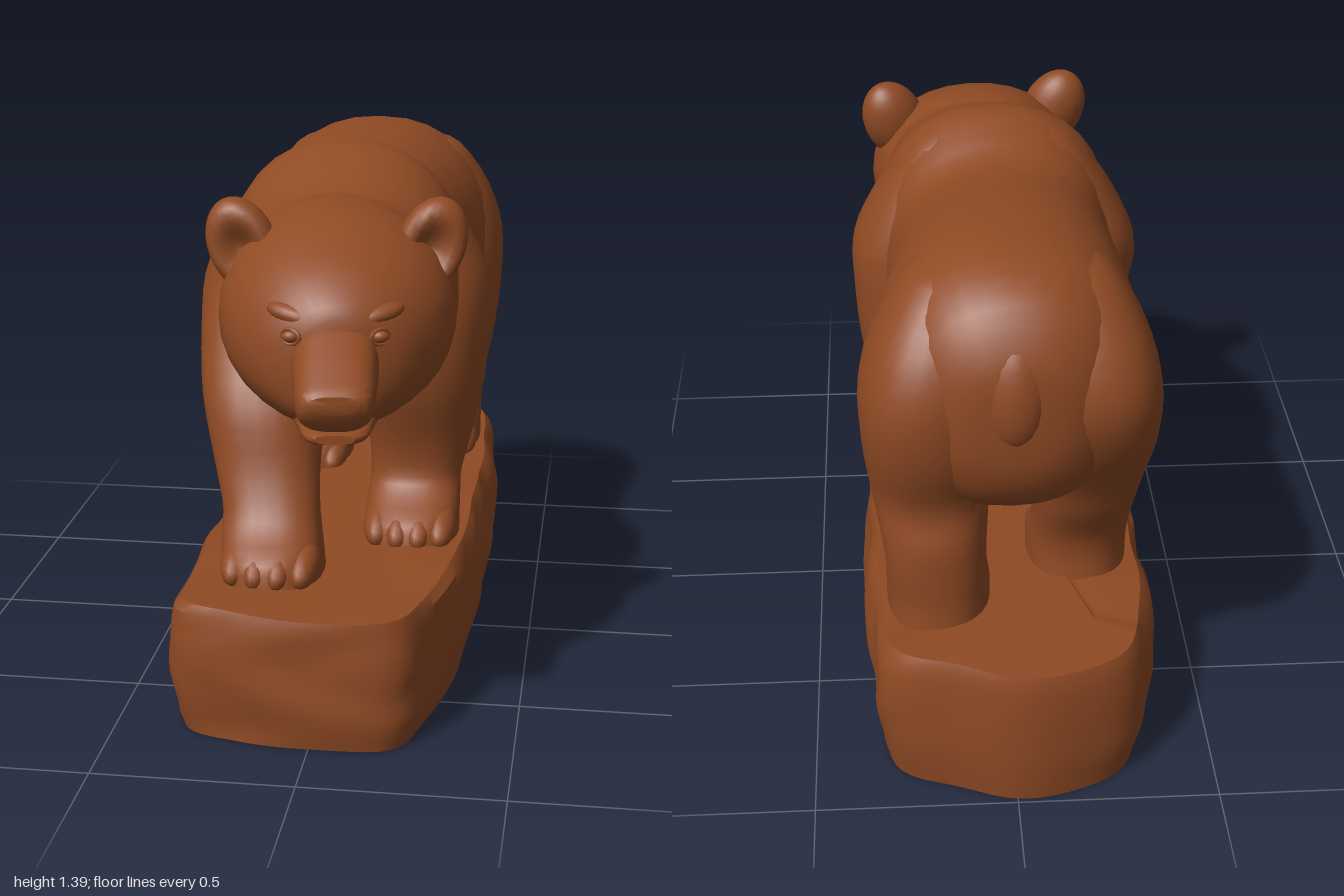
import * as THREE from 'three';
import { toCreasedNormals } from 'three/addons/utils/BufferGeometryUtils.js';

const brown = new THREE.MeshStandardMaterial({ color: 0x8f4a24 });
brown.name = 'carved brown';

function add(parent, name, geometry) {
  const mesh = new THREE.Mesh(geometry, brown);
  mesh.name = name;
  parent.add(mesh);
  return mesh;
}

// Closed skin over equal-length rings of points, with fan caps
function skin(rings, crease = 0.7) {
  const n = rings[0].length, m = rings.length, pos = [], idx = [];
  rings.forEach(r => r.forEach(p => pos.push(p.x, p.y, p.z)));
  for (let i = 0; i < m - 1; i++) for (let j = 0; j < n; j++) {
    const a = i * n + j, b = i * n + (j + 1) % n;
    idx.push(a, a + n, b, b, a + n, b + n);
  }
  [0, m - 1].forEach((r, end) => {
    const c = new THREE.Vector3();
    rings[r].forEach(p => c.addScaledVector(p, 1 / n));
    const k = pos.length / 3;
    pos.push(c.x, c.y, c.z);
    for (let j = 0; j < n; j++) {
      const a = r * n + j, b = r * n + (j + 1) % n;
      if (end) idx.push(k, b, a); else idx.push(k, a, b);
    }
  });
  const g = new THREE.BufferGeometry();
  g.setAttribute('position', new THREE.Float32BufferAttribute(pos, 3));
  g.setIndex(idx);
  return toCreasedNormals(g, crease);
}

// Smoothly interpolate rows of section numbers
function refine(rows, steps = 3) {
  const out = [], at = i => rows[Math.max(0, Math.min(rows.length - 1, i))];
  for (let i = 0; i < rows.length - 1; i++) for (let s = 0; s < steps; s++) {
    const t = s / steps;
    out.push(rows[i].map((v, k) => {
      const a = at(i - 1)[k], c = at(i + 1)[k], d = at(i + 2)[k];
      return v + 0.5 * t * (c - a + t * (2 * a - 5 * v + 4 * c - d + t * (3 * (v - c) + d - a)));
    }));
  }
  out.push(rows[rows.length - 1]);
  return out;
}

// Rounded-square point
function roundPoint(j, n, e) {
  const t = j / n * Math.PI * 2, f = v => Math.sign(v) * Math.abs(v) ** (2 / e);
  return [f(Math.cos(t)), f(Math.sin(t))];
}

// Loft along z; rows: [z, centre x, top y, bottom y, half width]
function loftZ(rows, e = 2.3, n = 32) {
  return skin(refine(rows).map(([z, cx, top, bot, w]) => Array.from({ length: n }, (_, j) => {
    const [u, v] = roundPoint(j, n, e);
    return new THREE.Vector3(cx + u * w, (top + bot) / 2 - v * (top - bot) / 2, z);
  })));
}

// Loft along y; rows: [y, centre x, centre z, half x, half z]
function loftY(rows, e = 2.35, n = 28) {
  return skin(refine(rows).map(([y, cx, cz, hx, hz]) => Array.from({ length: n }, (_, j) => {
    const [u, v] = roundPoint(j, n, e);
    return new THREE.Vector3(cx + u * hx, y, cz + v * hz);
  })));
}

function blob(parent, name, x, y, z, rx, ry, rz) {
  const m = add(parent, name, new THREE.SphereGeometry(1, 18, 12));
  m.position.set(x, y, z);
  m.scale.set(rx, ry, rz);
  return m;
}

function makeLeg(name, rows) {
  const leg = new THREE.Group();
  leg.name = name;
  add(leg, name + 'Limb', loftY(rows));
  // Four long toes sloping out of the front of the paw
  const [, cx, cz, hx, hz] = rows[0];
  for (let i = 0; i < 4; i++) {
    const k = (i - 1.5) / 1.5;
    const toe = blob(leg, 'toe', cx + k * hx * 0.66, 0.385, cz + hz - 0.085 - 0.02 * k * k, 0.04, 0.045, 0.095);
    toe.rotation.x = 0.3;
  }
  return leg;
}

// Rough stone block the animal stands on, narrowed at its left front corner
function makeBase() {
  const outline = [[.365, 0], [.36, .25], [.335, .45], [.29, .64], [.23, .79], [0, .82], [-.2, .8], [-.35, .74], [-.37, .4],
    [-.365, 0], [-.375, -.4], [-.36, -.7], [-.3, -.9], [-.15, -.98], [0, -1], [.15, -.95], [.32, -.87], [.36, -.6], [.37, -.3]];
  const curve = new THREE.CatmullRomCurve3(outline.map(([x, z]) => new THREE.Vector3(x, 0, z)), true);
  const pts = curve.getSpacedPoints(140).slice(0, 140);
  const layers = [[0, .91], [.03, .935], [.06, .955], [.09, .975], [.12, .985], [.15, .99], [.18, .995], [.21, .995],
    [.24, .99], [.27, .985], [.3, .97], [.33, .95], [.352, .9], [.354, .6]];
  return skin(layers.map(([y, s]) => pts.map(p => {
    const wave = Math.sin(p.z * 8 + p.x * 6 + y * 9 + 1.5 * Math.sin(p.z * 5 - y * 11));
    const rough = y > 0 && y < .34 ? 1 : 0.35;
    const b = rough * (.014 * wave + .01 * Math.sin(p.z * 19 + p.x * 13 + 2 * Math.sin(y * 21 + p.z * 4)));
    const z = p.z * (1 - (1 - s) * .15 + (p.z > 0 ? b * .35 : 0));
    const lift = y / .35 * (-.014 * p.z + (p.z < -.8 ? .012 : 0) + .006 * Math.sin(p.z * 13 + p.x * 8));
    return new THREE.Vector3(p.x * (s + b), y + lift, z);
  })), 0.6);
}

// Thick rounded ear with a hollow pressed into the front
function earGeometry() {
  const g = new THREE.SphereGeometry(1, 24, 18), p = g.attributes.position;
  for (let i = 0; i < p.count; i++) {
    const x = p.getX(i), y = p.getY(i), z = p.getZ(i);
    const dent = z > 0 ? 1.05 * Math.exp(-3.6 * (x * x + (y + .1) ** 2)) : 0;
    p.setXYZ(i, x * .085, y * .12, (z - dent) * .072);
  }
  g.computeVertexNormals();
  return g;
}

function makeHead() {
  const head = new THREE.Group();
  head.name = 'head';
  head.position.set(.03, 0, .5);
  head.rotation.y = .13;
  add(head, 'skull', loftZ([[-.26, 0, 1.27, .77, .24], [-.15, 0, 1.295, .775, .262], [-.05, 0, 1.295, .78, .282],
    [.05, 0, 1.275, .79, .287], [.15, 0, 1.235, .795, .26], [.23, 0, 1.195, .805, .215], [.29, 0, 1.15, .825, .165],
    [.325, 0, 1.11, .85, .105], [.338, 0, 1.06, .89, .06]], 2.1));
  add(head, 'muzzle', loftZ([[.22, 0, 1.1, .875, .12], [.31, 0, 1.083, .877, .103], [.38, 0, 1.045, .87, .096],
    [.43, 0, 1.015, .864, .092], [.462, 0, .995, .872, .087], [.488, 0, .978, .898, .078], [.503, 0, .965, .925, .055]], 2.7));
  add(head, 'lowerJaw', loftZ([[.2, 0, .9, .8, .11], [.33, 0, .862, .81, .085], [.39, 0, .853, .817, .07],
    [.42, 0, .848, .826, .045]], 2.6));
  for (const s of [-1, 1]) {
    const ear = add(head, 'ear', earGeometry());
    ear.position.set(s * .228, 1.2, .015);
    ear.rotation.set(-.12, s * .2, -s * .38);
    blob(head, 'eye', s * .102, 1.053, .316, .021, .015, .016);
    const lid = add(head, 'eyelid', new THREE.TorusGeometry(.024, .006, 6, 18));
    lid.position.set(s * .102, 1.053, .319);
    lid.rotation.y = s * .6;
    lid.scale.y = .75;
    const brow = blob(head, 'brow', s * .095, 1.095, .275, .07, .025, .036);
    brow.rotation.set(0, s * .4, s * .2);
  }
  return head;
}

export function createModel() {
  const model = new THREE.Group();
  model.name = 'bearStatue';
  add(model, 'stoneBase', makeBase());

  // Torso from rump to neck, with a shoulder hump
  add(model, 'torso', loftZ([[-.85, 0, 1.09, .95, .05], [-.835, 0, 1.16, .84, .14], [-.77, 0, 1.265, .73, .235],
    [-.65, 0, 1.325, .66, .305], [-.5, 0, 1.34, .615, .33], [-.3, -.01, 1.33, .615, .31], [-.1, -.01, 1.31, .63, .3],
    [0, 0, 1.35, .64, .305], [.11, 0, 1.388, .65, .315], [.23, 0, 1.345, .68, .31], [.34, .01, 1.3, .715, .285],
    [.45, .02, 1.285, .77, .25], [.55, .03, 1.22, .82, .18]]));
  const tail = blob(model, 'tail', 0, 1.06, -.805, .08, .14, .062);
  tail.rotation.x = .12;

  // Legs share their upper sections, mirrored; the lower ones set the stride
  const mirror = rows => rows.map(([y, x, ...r]) => [y, -x, ...r]);
  const shoulder = [[1.03, .2, .09, .176, .19], [1.14, .172, .095, .155, .18], [1.23, .13, .1, .14, .155], [1.31, .09, .1, .12, .11], [1.35, .07, .1, .08, .06]];
  const hip = [[1, .195, -.61, .168, .222], [1.14, .17, -.6, .15, .19], [1.26, .13, -.57, .11, .12], [1.29, .11, -.57, .06, .06]];
  model.add(makeLeg('frontLegLeft', [[.33, .185, .16, .125, .17], [.4, .185, .15, .125, .158], [.45, .186, .115, .123, .122], [.5, .188, .093, .122, .1],
    [.6, .197, .09, .138, .115], [.75, .2, .085, .165, .178], [.9, .2, .09, .177, .196], ...shoulder]));
  model.add(makeLeg('frontLegRight', [[.33, -.135, .485, .13, .165], [.4, -.14, .478, .128, .152], [.45, -.147, .447, .126, .117], [.5, -.153, .42, .125, .1],
    [.6, -.172, .36, .138, .115], [.75, -.19, .26, .165, .175], [.9, -.2, .15, .177, .195], ...mirror(shoulder)]));
  model.add(makeLeg('hindLegLeft', [[.34, .18, -.6, .13, .185], [.42, .18, -.61, .13, .168], [.5, .185, -.65, .125, .13],
    [.6, .19, -.615, .135, .165], [.7, .195, -.575, .15, .185], [.85, .195, -.6, .168, .215], ...hip]));
  model.add(makeLeg('hindLegRight', [[.34, -.185, -.41, .13, .175], [.42, -.185, -.42, .13, .155], [.5, -.19, -.475, .125, .115],
    [.6, -.195, -.485, .135, .16], [.7, -.2, -.5, .15, .19], [.85, -.2, -.57, .168, .215], ...mirror(hip)]));

  model.add(makeHead());
  return model;
}
